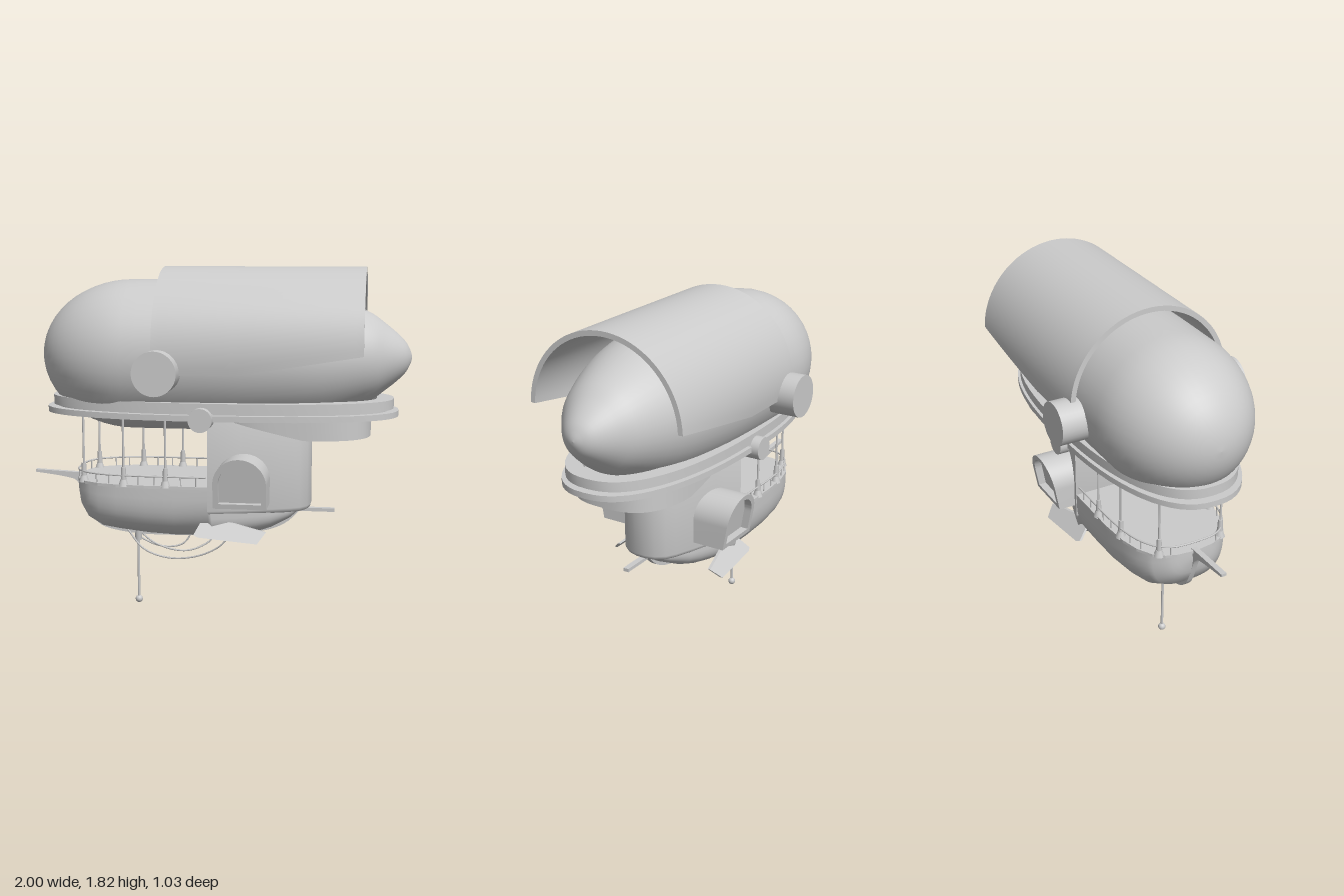
import * as THREE from 'three';
import { toCreasedNormals } from 'three/addons/utils/BufferGeometryUtils.js';

const mat = new THREE.MeshStandardMaterial({ color: 0xcccccc, side: THREE.DoubleSide });
const V2 = (x, y) => new THREE.Vector2(x, y);
const V3 = (x, y, z) => new THREE.Vector3(x, y, z);

// Linear lookup in a short list of [x, value] pairs
function lerpTable(table, x) {
  for (let i = 1; i < table.length; i++) {
    const [x0, a] = table[i - 1], [x1, b] = table[i];
    if (x <= x1) return a + (b - a) * Math.max(0, (x - x0) / (x1 - x0));
  }
  return table[table.length - 1][1];
}

// Move every vertex by a rule
function warp(geo, rule) {
  const p = geo.attributes.position, v = V3(0, 0, 0);
  for (let i = 0; i < p.count; i++) {
    rule(v.fromBufferAttribute(p, i));
    p.setXYZ(i, v.x, v.y, v.z);
  }
  geo.computeVertexNormals();
  return geo;
}

// Closed oval plan, exponent n > 2 makes it squarer
function oval(cx, a, b, n = 2.4, count = 64) {
  return Array.from({ length: count }, (_, i) => {
    const t = (i / count) * Math.PI * 2, c = Math.cos(t), s = Math.sin(t);
    return V2(cx + a * Math.sign(c) * Math.abs(c) ** (2 / n), b * Math.sign(s) * Math.abs(s) ** (2 / n));
  });
}

// Plan (x, z) extruded downwards from top
function slab(points, top, height, hole, bevel = 0) {
  const shape = new THREE.Shape(points);
  if (hole) shape.holes.push(new THREE.Path(hole));
  const geo = new THREE.ExtrudeGeometry(shape, {
    depth: height - 2 * bevel, bevelEnabled: bevel > 0, bevelSize: bevel,
    bevelThickness: bevel, bevelOffset: -bevel, bevelSegments: 3,
  });
  return geo.rotateX(Math.PI / 2).translate(0, top - bevel, 0);
}

// Deck plan half width and keel height along the hull
const halfWidth = [[-0.75, 0.02], [-0.74, 0.1], [-0.72, 0.155], [-0.68, 0.205], [-0.6, 0.25], [-0.5, 0.275],
  [-0.35, 0.287], [-0.02, 0.287], [0.15, 0.235], [0.29, 0.185], [0.38, 0.12], [0.42, 0.06], [0.43, 0.005]];
const hullBottom = [[-0.75, 0.66], [-0.74, 0.6], [-0.72, 0.54], [-0.68, 0.485], [-0.6, 0.445], [-0.4, 0.42],
  [-0.1, 0.405], [0.2, 0.435], [0.35, 0.485], [0.43, 0.55]];

function hullGeometry() {
  const xs = [...halfWidth.map((e) => e[0]), -0.73, -0.65, -0.2, 0.0, 0.08, 0.22].sort((a, b) => a - b);
  const cols = 28, pos = [], idx = [];
  xs.forEach((x, i) => {
    const w = lerpTable(halfWidth, x), bot = lerpTable(hullBottom, x), top = x < -0.01 ? 0.71 : 0.58;
    for (let j = 0; j <= cols; j++) {
      const t = (j / cols) * Math.PI, c = Math.cos(t);
      pos.push(x, top - (top - bot) * Math.sin(t) ** (2 / 3), w * Math.sign(c) * Math.abs(c) ** (2 / 3));
      if (i && j) {
        const d = i * (cols + 1) + j, b = d - cols - 1;
        idx.push(b - 1, b, d - 1, b, d, d - 1);
      }
    }
  });
  const geo = new THREE.BufferGeometry();
  geo.setAttribute('position', new THREE.Float32BufferAttribute(pos, 3));
  geo.setIndex(idx);
  geo.computeVertexNormals();
  return geo;
}

// Round-topped opening outline
function arch(w, bottom, spring) {
  const s = new THREE.Shape();
  s.moveTo(-w, bottom);
  s.lineTo(w, bottom);
  s.lineTo(w, spring);
  s.absarc(0, spring, w, 0, Math.PI, false);
  s.closePath();
  return s;
}

export function createModel() {
  const model = new THREE.Group();
  const add = (name, geo, parent = model) => {
    const mesh = new THREE.Mesh(geo, mat);
    mesh.name = name;
    parent.add(mesh);
    return mesh;
  };
  const smooth = (geo, angle = 0.6) => toCreasedNormals(geo, angle);
  const rod = (name, r0, r1, x, y0, y1, z, sides = 8) =>
    add(name, new THREE.CylinderGeometry(r1, r0, y1 - y0, sides).translate(x, (y0 + y1) / 2, z));
  const tube = (name, pts, r, n = 40) =>
    add(name, new THREE.TubeGeometry(new THREE.CatmullRomCurve3(pts), n, r, 6));

  // Balloon: elliptical nose, long body, tapered tail
  const profile = [];
  for (let i = 0; i <= 14; i++) {
    const t = (i / 14) * Math.PI / 2;
    profile.push(V2(0.39 * Math.sin(t), -0.45 - 0.48 * Math.cos(t)));
  }
  const tail = new THREE.SplineCurve([V2(0.39, -0.45), V2(0.39, -0.1), V2(0.378, 0.2), V2(0.335, 0.5),
    V2(0.24, 0.757), V2(0.165, 0.87), V2(0.09, 0.955), V2(0.035, 0.988), V2(0, 0.997)]);
  profile.push(...tail.getPoints(30).slice(1).map((p) => V2(Math.max(0, p.x), p.y)));
  add('balloon', new THREE.LatheGeometry(profile, 40).rotateZ(-Math.PI / 2).translate(0, 1.36, 0));

  // Curved armour over the balloon: a box bent into an arc
  add('balloonShell', warp(new THREE.BoxGeometry(1.04, 1, 2, 26, 1, 40), (v) => {
    const x = v.x + 0.24, r = 0.422 + v.y * 0.026;
    const edge = lerpTable([[-0.28, 1.295], [0.12, 1.295], [0.76, 1.4]], x);
    const a = v.z * Math.acos((edge - 1.383) / 0.435);
    v.set(x, 1.383 + r * Math.cos(a), r * Math.sin(a));
  }));

  // Engine drums on both flanks
  for (const s of [1, -1]) {
    const drum = (name, r, x, y, z0, z1) => add(name,
      new THREE.CylinderGeometry(r, r, z1 - z0, 32).rotateX(Math.PI / 2).translate(x, y, s * (z0 + z1) / 2));
    drum('largeDrum', 0.111, -0.25, 1.31, 0.34, 0.517);
    drum('smallDrum', 0.06, -0.04, 1.07, 0.3, 0.41);
  }

  // Platform rings around the balloon
  add('upperRing', smooth(slab(oval(0.015, 0.895, 0.362), 1.15, 0.05, oval(0.015, 0.81, 0.28))));
  add('middleRing', smooth(slab(oval(0.015, 0.87, 0.34), 1.1, 0.02, oval(0.015, 0.81, 0.28))));
  add('lowerRing', smooth(slab(oval(0.012, 0.923, 0.372), 1.09, 0.03, oval(0.015, 0.81, 0.28))));

  // Pod under the tail, its floor rising towards the bow
  add('tailPod', smooth(warp(slab(oval(0.385, 0.41, 0.29, 2.8), 1.085, 0.125), (v) => {
    if (v.y < 1) v.y = Math.min(1.08, 0.96 + Math.max(0, 0.47 - v.x) * 0.225);
  })));

  // Cabin, narrowing to a rounded stern
  const side = [[-0.02, 0.29], [0.15, 0.242], [0.29, 0.195], [0.39, 0.155], [0.44, 0.125], [0.475, 0.08], [0.49, 0.03]];
  const plan = [...side.map(([x, z]) => V2(x, z)), ...side.slice().reverse().map(([x, z]) => V2(x, -z))];
  add('cabin', smooth(slab(plan, 1.09, 0.53, null, 0.025), 0.7));

  // Arched bay windows
  for (const s of [1, -1]) {
    const bay = new THREE.Group();
    bay.name = 'bayWindow';
    const frame = arch(0.135, 0.62, 0.745);
    frame.holes.push(arch(0.108, 0.645, 0.745));
    const lean = (v) => { if (v.z > 0.2) v.z += (v.y - 0.88) * 0.18; };
    const layer = (shape, z0, z1) => smooth(warp(new THREE.ExtrudeGeometry(shape,
      { depth: z1 - z0, bevelEnabled: false, curveSegments: 20 }).translate(0, 0, z0), lean));
    add('windowHood', layer(frame, 0.12, 0.415), bay);
    add('windowPane', layer(arch(0.11, 0.64, 0.745), 0.36, 0.375), bay);
    bay.position.x = 0.155;
    if (s < 0) bay.rotation.y = Math.PI;
    model.add(bay);
  }

  // Hull, deck and keel
  add('hull', hullGeometry());
  const deckSide = halfWidth.filter((e) => e[0] <= -0.02);
  add('deck', slab([...deckSide.map(([x, z]) => V2(x, z)),
    ...deckSide.slice().reverse().map(([x, z]) => V2(x, -z))], 0.71, 0.015));
  const keelOuter = new THREE.SplineCurve([V2(-1, 0.713), V2(-0.83, 0.69), V2(-0.765, 0.66), V2(-0.72, 0.54),
    V2(-0.68, 0.465), V2(-0.6, 0.415), V2(-0.4, 0.388), V2(-0.1, 0.393), V2(0.2, 0.42), V2(0.35, 0.47), V2(0.44, 0.555)]);
  const keelShape = new THREE.Shape([...keelOuter.getPoints(50), V2(0.38, 0.555), V2(0.32, 0.5), V2(0.15, 0.45),
    V2(-0.4, 0.45), V2(-0.6, 0.48), V2(-0.66, 0.54), V2(-0.7, 0.62), V2(-0.73, 0.715), V2(-1, 0.727)]);
  add('keelAndBowsprit', smooth(new THREE.ExtrudeGeometry(keelShape,
    { depth: 0.03, bevelEnabled: false }).translate(0, 0, -0.015)));
  add('sternBar', new THREE.BoxGeometry(0.27, 0.018, 0.03).translate(0.48, 0.55, 0));

  // Sloping side fins
  const finShape = new THREE.Shape([V2(-0.09, 0.465), V2(-0.055, 0.53), V2(0.01, 0.54), V2(0.28, 0.485),
    V2(0.24, 0.435), V2(-0.065, 0.455)]);
  const finGeo = smooth(warp(new THREE.ExtrudeGeometry(finShape, { depth: 0.015, bevelEnabled: false }),
    (v) => { v.z += 0.76 - v.y; }));
  for (const s of [1, -1]) add('sideFin', finGeo).scale.z = s;

  // Deck rail with stanchions
  const edge = (x, s, y) => V3(x, y, s * (lerpTable(halfWidth, x) - 0.012));
  const railX = [-0.03, -0.2, -0.35, -0.5, -0.6, -0.68, -0.72, -0.738];
  tube('deckRail', [...railX.map((x) => edge(x, 1, 0.757)),
    ...railX.slice().reverse().map((x) => edge(x, -1, 0.757))], 0.005, 80);
  for (const s of [1, -1]) {
    for (const x of [-0.08, -0.16, -0.3, -0.38, -0.54, -0.61, -0.725]) {
      rod('stanchion', 0.004, 0.004, x, 0.7, 0.757, edge(x, s, 0).z, 6);
    }
    // Suspension posts
    for (const x of [-0.24, -0.46, -0.69]) {
      const z = edge(x, s, 0).z - s * 0.005;
      rod('postFoot', 0.028, 0.016, x, 0.7, 0.735, z);
      rod('postSocket', 0.015, 0.012, x, 0.73, 0.8, z);
      rod('post', 0.006, 0.006, x, 0.79, 1.09, z);
    }
  }

  // Mast hanging from the keel
  rod('mastMount', 0.017, 0.022, -0.44, 0.35, 0.41, 0, 12);
  rod('mast', 0.007, 0.007, -0.44, 0.02, 0.36, 0);
  add('mastBall', new THREE.SphereGeometry(0.02, 16, 12).translate(-0.44, 0.02, 0));

  // Slack cables under the hull
  tube('cable', [V3(-0.5, 0.42, 0.02), V3(-0.4, 0.315, 0.05), V3(-0.26, 0.268, 0.045), V3(-0.1, 0.29, 0.06),
    V3(0.02, 0.355, 0.08), V3(0.07, 0.42, 0.09)], 0.005);
  tube('cable', [V3(-0.49, 0.42, 0), V3(-0.41, 0.345, -0.03), V3(-0.3, 0.31, -0.035), V3(-0.2, 0.33, -0.04),
    V3(-0.14, 0.42, -0.04)], 0.005);
  tube('cable', [V3(-0.45, 0.42, 0.01), V3(-0.34, 0.335, 0.01), V3(-0.18, 0.3, 0), V3(-0.06, 0.345, -0.03),
    V3(0, 0.42, -0.05)], 0.005);

  return model;
}
